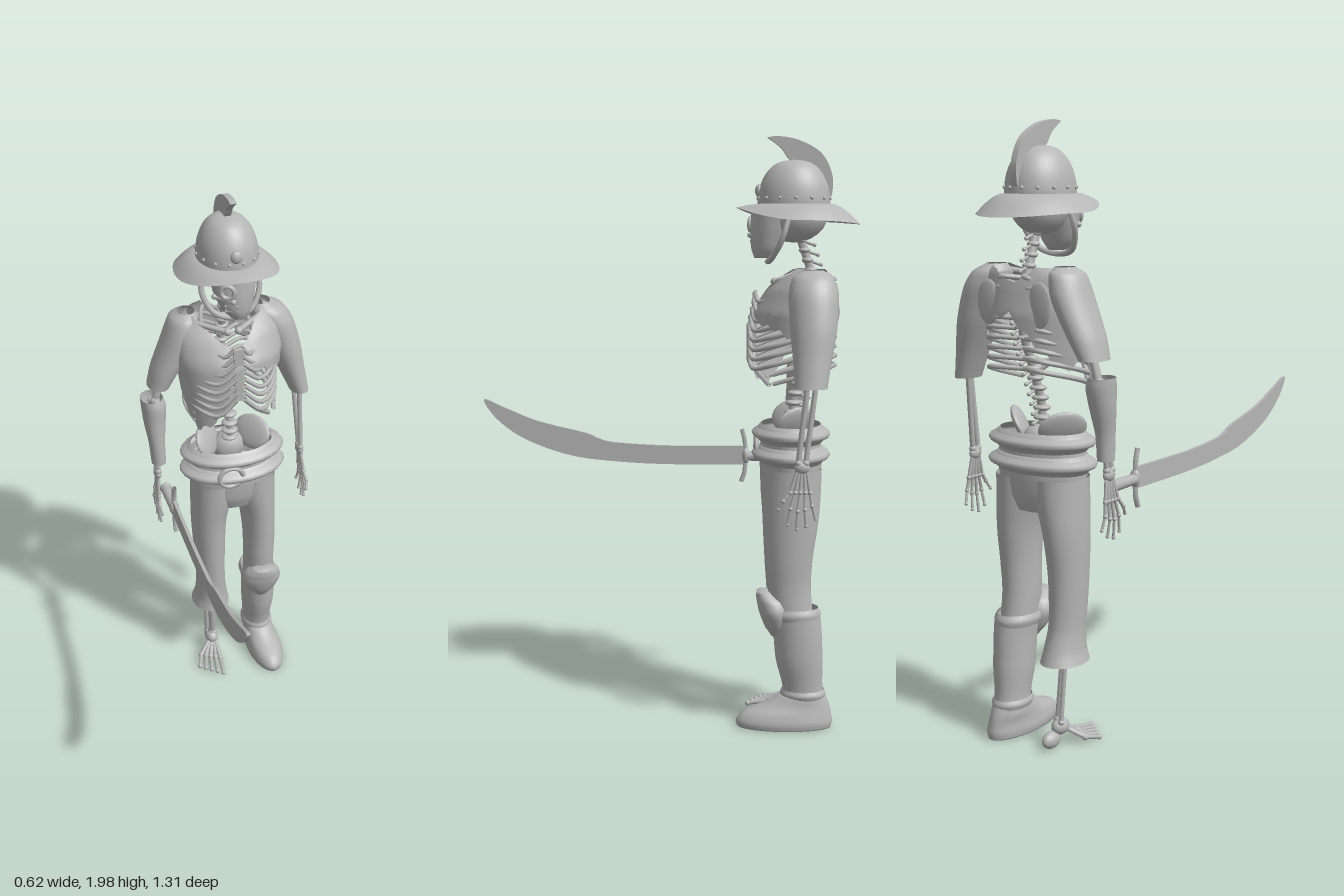
import * as THREE from 'three';

const grey = new THREE.MeshStandardMaterial({ color: 0xb6b6b6, side: THREE.DoubleSide });
grey.name = 'plain grey';
const TAU = Math.PI * 2;
const V = (x, y, z) => new THREE.Vector3(x, y, z);

function add(parent, name, geo) {
  const m = new THREE.Mesh(geo, grey);
  m.name = name;
  parent.add(m);
  return m;
}
function group(parent, name) {
  const g = new THREE.Group();
  g.name = name;
  parent.add(g);
  return g;
}
// Surface closed around u (angle) and open along v (upwards)
function ringSurface(nu, nv, f) {
  const pos = [], idx = [];
  for (let j = 0; j <= nv; j++) for (let i = 0; i < nu; i++) pos.push(...f((i / nu) * TAU, j / nv, j));
  for (let j = 0; j < nv; j++) for (let i = 0; i < nu; i++) {
    const a = j * nu + i, b = j * nu + ((i + 1) % nu), c = a + nu, d = b + nu;
    idx.push(a, c, b, b, c, d);
  }
  const g = new THREE.BufferGeometry();
  g.setAttribute('position', new THREE.Float32BufferAttribute(pos, 3));
  g.setIndex(idx);
  g.computeVertexNormals();
  return g;
}
// Smooth body through elliptic rings [y, cx, cz, rx, rz], listed bottom to top
function loft(rings, capped = false, nu = 28) {
  const c = new THREE.CatmullRomCurve3(rings.map(r => V(r[1], r[0], r[2])));
  const s = new THREE.CatmullRomCurve3(rings.map(r => V(r[3], r[4], 0)));
  const n = (rings.length - 1) * 4, extra = capped ? 1 : 0;
  return ringSurface(nu, n + 2 * extra, (a, v, j) => {
    const t = THREE.MathUtils.clamp((j - extra) / n, 0, 1);
    const p = c.getPoint(t), r = s.getPoint(t);
    const k = capped && (j === 0 || j === n + 2) ? 0 : 1;
    return [p.x + k * r.x * Math.cos(a), p.y, p.z + k * r.y * Math.sin(a)];
  });
}
function ball(parent, name, p, r) {
  const m = add(parent, name, new THREE.SphereGeometry(1, 18, 12));
  m.position.set(...p);
  m.scale.set(...r);
  return m;
}
// Straight bone with knobbed ends
function bone(parent, name, a, b, r) {
  const A = V(...a), B = V(...b), d = B.clone().sub(A);
  const m = add(parent, name, new THREE.CylinderGeometry(r, r, d.length(), 8));
  m.position.copy(A).addScaledVector(d, 0.5);
  m.quaternion.setFromUnitVectors(V(0, 1, 0), d.normalize());
  for (const p of [a, b]) ball(parent, name + 'Knob', p, [r * 1.35, r * 1.35, r * 1.35]);
}
function tube(parent, name, pts, r, n = 20) {
  return add(parent, name, new THREE.TubeGeometry(new THREE.CatmullRomCurve3(pts.map(p => V(...p))), n, r, 6));
}
// Plate drawn in the z-y plane, centred on x
function plate(parent, name, pts, x, thick) {
  const s = new THREE.Shape();
  s.moveTo(...pts[0]);
  s.splineThru(pts.slice(1).map(p => new THREE.Vector2(...p)));
  const g = new THREE.ExtrudeGeometry(s, { depth: thick, bevelEnabled: false, curveSegments: 24 });
  g.rotateY(-Math.PI / 2).translate(x + thick / 2, 0, 0);
  return add(parent, name, g);
}

function buildHead(root) {
  const h = group(root, 'head');
  ball(h, 'skull', [0, 1.745, -0.43], [0.085, 0.095, 0.115]);
  add(h, 'face', loft([[1.6, 0.01, -0.335, 0.03, 0.035], [1.63, 0.005, -0.34, 0.052, 0.05],
    [1.69, 0, -0.352, 0.072, 0.066], [1.76, 0, -0.37, 0.082, 0.08]], true));
  // Bare half of the face: socket, cheekbone and teeth
  const socket = add(h, 'eyeSocket', new THREE.TorusGeometry(0.022, 0.008, 8, 18));
  socket.position.set(-0.037, 1.71, -0.293);
  socket.rotation.y = -0.45;
  bone(h, 'cheekbone', [-0.02, 1.675, -0.287], [-0.072, 1.68, -0.335], 0.007);
  for (let i = 0; i < 5; i++) bone(h, 'tooth', [-0.005 - i * 0.009, 1.655, -0.291 - i * 0.004], [-0.005 - i * 0.009, 1.635, -0.294 - i * 0.004], 0.004);
  tube(h, 'chinStrap', [[-0.09, 1.74, -0.41], [-0.1, 1.67, -0.39], [-0.065, 1.605, -0.36], [0, 1.587, -0.345],
    [0.065, 1.605, -0.36], [0.1, 1.67, -0.39], [0.09, 1.74, -0.41]], 0.01, 32);

  const helmet = group(root, 'helmet');
  const prof = [[0.103, 1.755], [0.104, 1.79], [0.096, 1.84], [0.075, 1.885], [0.045, 1.912], [0.001, 1.922]];
  const curve = new THREE.SplineCurve(prof.map(p => new THREE.Vector2(...p)));
  const dome = add(helmet, 'dome', new THREE.LatheGeometry(curve.getPoints(18), 32));
  dome.scale.z = 1.16;
  dome.position.z = -0.43;
  add(helmet, 'brim', ringSurface(40, 6, (a, v) => {
    const s = Math.sin(a), out = 1.722 + (s > 0 ? 0.043 * s * s : -0.012 * s * s);
    const y = out + (1.777 - out) * Math.sin(v * Math.PI / 2);
    return [(0.177 - 0.077 * v) * Math.cos(a), y, -0.445 + 0.012 * v + (0.205 - 0.088 * v) * s];
  }));
  for (let i = 0; i < 14; i++) {
    const a = i / 14 * TAU;
    ball(helmet, 'rivet', [0.104 * Math.cos(a), 1.795, -0.43 + 0.12 * Math.sin(a)], [0.006, 0.006, 0.006]);
  }
  ball(helmet, 'frontStud', [0, 1.82, -0.314], [0.02, 0.022, 0.013]);
  plate(helmet, 'crest', [[-0.34, 1.993], [-0.38, 1.997], [-0.45, 1.982], [-0.52, 1.94], [-0.555, 1.87], [-0.552, 1.8],
    [-0.53, 1.83], [-0.47, 1.9], [-0.418, 1.918], [-0.385, 1.96], [-0.34, 1.993]], 0, 0.022);
}

function buildBones(root) {
  const b = group(root, 'skeleton');
  // Spine with discs and side spurs
  const spine = new THREE.CatmullRomCurve3([V(0, 0.96, -0.46), V(0, 1.1, -0.435), V(0, 1.25, -0.48), V(0, 1.4, -0.53), V(0, 1.54, -0.495), V(0, 1.69, -0.445)]);
  add(b, 'spineCore', new THREE.TubeGeometry(spine, 40, 0.014, 8));
  for (let i = 0; i < 24; i++) {
    const p = spine.getPoint(i / 23), r = 0.032 - i * 0.0005;
    ball(b, 'vertebra', [p.x, p.y, p.z], [r, 0.011, r * 0.9]);
    bone(b, 'spur', [0, p.y, p.z], [0, p.y - 0.015, p.z - 0.045], 0.005);
  }
  // Rib cage
  for (const s of [-1, 1]) {
    for (let i = 0; i < 10; i++) {
      const y = 1.525 - i * 0.031, w = Math.min(0.085 + i * 0.022, 0.158), z = -0.315 + Math.min(i, 4) * 0.005;
      const pts = [[0, y, -0.52], [s * w * 0.6, y + 0.005, -0.565], [s * w, y - 0.025, -0.46], [s * w * 0.9, y - 0.055, -0.36]];
      if (i < 8) pts.push([s * w * 0.5, y - 0.07, z], [s * 0.015, y - 0.04 + i * 0.004, z + 0.01]);
      tube(b, 'rib', pts, 0.008, 24);
    }
    tube(b, 'ribArch', [[s * 0.015, 1.29, -0.3], [s * 0.06, 1.245, -0.3], [s * 0.12, 1.185, -0.35]], 0.009);
    bone(b, 'collarbone', [s * 0.02, 1.52, -0.37], [s * 0.16, 1.545, -0.46], 0.01);
    ball(b, 'shoulderBlade', [s * 0.1, 1.45, -0.565], [0.045, 0.07, 0.01]);
    // Pelvis wings
    const wing = ball(b, 'pelvisWing', [s * 0.085, 1.055, -0.44], [0.018, 0.062, 0.08]);
    wing.rotation.set(0, s * 0.6, -s * 0.45);
  }
  add(b, 'breastbone', new THREE.BoxGeometry(0.035, 0.2, 0.012)).position.set(0, 1.385, -0.303);
  ball(b, 'pelvisBase', [0, 1.0, -0.46], [0.06, 0.06, 0.045]);

  // Arms and hands
  for (const s of [-1, 1]) {
    const arm = group(b, s > 0 ? 'leftArm' : 'rightArm');
    const ex = s * 0.265, wx = s * 0.272, wz = -0.45;
    bone(arm, 'upperArm', [s * 0.18, 1.5, -0.485], [ex * 0.98, 1.22, -0.485], 0.014);
    for (const k of [-1, 1]) bone(arm, 'forearm', [ex + k * 0.008, 1.22, -0.48 + k * 0.014], [wx, 0.95, wz + k * 0.012], 0.009);
    ball(arm, 'wrist', [wx, 0.935, wz], [0.014, 0.02, 0.026]);
    for (let i = 0; i < 5; i++) {
      const z = i - 2, low = [0.8, 0.75, 0.735, 0.745, 0.77][i];
      const kz = wz + 0.005 - z * 0.016, tz = wz + 0.015 - z * 0.03;
      bone(arm, 'palmBone', [wx, 0.93, wz - z * 0.007], [wx + s * 0.006, 0.855, kz], 0.006);
      bone(arm, 'finger', [wx + s * 0.006, 0.855, kz], [wx + s * 0.01, (0.855 + low) / 2, (kz + tz) / 2 + 0.003], 0.0055);
      bone(arm, 'fingertip', [wx + s * 0.01, (0.855 + low) / 2, (kz + tz) / 2 + 0.003], [wx + s * 0.005, low, tz], 0.0045);
    }
  }
  // Bare right shin and foot
  const leg = group(b, 'rightShin');
  bone(leg, 'shinbone', [-0.09, 0.46, -0.43], [-0.08, 0.1, -0.465], 0.014);
  bone(leg, 'calfBone', [-0.108, 0.44, -0.45], [-0.1, 0.1, -0.48], 0.008);
  ball(leg, 'ankle', [-0.085, 0.08, -0.465], [0.026, 0.028, 0.035]);
  ball(leg, 'heel', [-0.08, 0.045, -0.505], [0.022, 0.028, 0.04]);
  for (let i = 0; i < 5; i++) {
    const kx = -0.075 - i * 0.017, kz = -0.37 - i * 0.01, tx = -0.082 - i * 0.02, tz = -0.295 - i * 0.016;
    bone(leg, 'footBone', [-0.075 - i * 0.006, 0.07, -0.45], [kx, 0.036, kz], 0.008);
    bone(leg, 'toe', [kx, 0.036, kz], [tx, 0.024, tz], 0.007);
  }
}

function buildClothes(root) {
  // Torn shirt: hem and collar heights every 30 degrees, starting at the left side
  const shirt = group(root, 'shirt');
  const hem = [1.33, 1.37, 1.39, 1.41, 1.2, 1.16, 1.28, 1.25, 1.32, 1.42, 1.4, 1.33];
  const top = [1.56, 1.56, 1.54, 1.46, 1.53, 1.56, 1.56, 1.56, 1.56, 1.51, 1.55, 1.56];
  const body = [[1.14, 0.155, 0.13, -0.42], [1.3, 0.175, 0.148, -0.435], [1.42, 0.19, 0.147, -0.442], [1.5, 0.185, 0.115, -0.46], [1.54, 0.17, 0.09, -0.475], [1.57, 0.12, 0.07, -0.48]];
  const at = (list, a) => {
    const t = a / TAU * 12, i = Math.floor(t) % 12;
    return THREE.MathUtils.lerp(list[i], list[(i + 1) % 12], t - Math.floor(t));
  };
  add(shirt, 'shirtBody', ringSurface(72, 14, (a, v) => {
    const y = THREE.MathUtils.lerp(at(hem, a) + 0.008 * Math.sin(a * 19), at(top, a), v);
    let i = 0;
    while (i < 4 && y > body[i + 1][0]) i++;
    const k = (y - body[i][0]) / (body[i + 1][0] - body[i][0]);
    const [, rx, rz, cz] = body[i].map((n, c) => THREE.MathUtils.lerp(n, body[i + 1][c], k));
    return [rx * Math.cos(a), y, cz + rz * Math.sin(a)];
  }));
  add(shirt, 'leftSleeve', loft([[1.19, 0.272, -0.475, 0.035, 0.052], [1.28, 0.245, -0.48, 0.047, 0.062], [1.38, 0.213, -0.485, 0.063, 0.076],
    [1.48, 0.178, -0.485, 0.07, 0.08], [1.535, 0.152, -0.485, 0.062, 0.068], [1.562, 0.135, -0.485, 0.03, 0.035]]));
  add(shirt, 'rightSleeve', loft([[1.29, -0.245, -0.485, 0.04, 0.06], [1.36, -0.215, -0.485, 0.052, 0.072],
    [1.47, -0.165, -0.485, 0.058, 0.08], [1.54, -0.145, -0.485, 0.05, 0.068], [1.562, -0.135, -0.485, 0.03, 0.035]]));
  add(root, 'bracer', loft([[0.98, -0.264, -0.455, 0.026, 0.03], [1.06, -0.266, -0.46, 0.029, 0.034], [1.15, -0.267, -0.475, 0.04, 0.045],
    [1.21, -0.267, -0.482, 0.044, 0.052], [1.24, -0.272, -0.485, 0.04, 0.048]]));

  // Trousers and belt rolls
  const t = group(root, 'trousers');
  add(t, 'hips', loft([[0.79, 0.005, -0.43, 0.11, 0.08], [0.84, 0.005, -0.43, 0.148, 0.098], [0.92, 0.005, -0.43, 0.16, 0.105], [1.02, 0.005, -0.43, 0.155, 0.1]]));
  add(t, 'rightLeg', loft([[0.3, -0.09, -0.445, 0.072, 0.09], [0.34, -0.088, -0.44, 0.062, 0.08], [0.42, -0.09, -0.43, 0.055, 0.07], [0.58, -0.093, -0.425, 0.059, 0.077],
    [0.72, -0.09, -0.43, 0.066, 0.09], [0.82, -0.077, -0.43, 0.078, 0.098], [0.9, -0.07, -0.43, 0.084, 0.1]]));
  add(t, 'leftLeg', loft([[0.36, 0.107, -0.44, 0.058, 0.07], [0.5, 0.102, -0.425, 0.058, 0.073], [0.6, 0.104, -0.425, 0.06, 0.078],
    [0.72, 0.099, -0.43, 0.066, 0.09], [0.82, 0.086, -0.43, 0.078, 0.098], [0.9, 0.08, -0.43, 0.084, 0.1]]));
  for (const [y, r] of [[0.945, 0.172], [1.015, 0.168]]) {
    add(t, 'waistRoll', loft([[y - 0.035, 0.005, -0.43, r - 0.016, 0.1], [y - 0.02, 0.005, -0.43, r, 0.113],
      [y + 0.015, 0.005, -0.43, r, 0.113], [y + 0.03, 0.005, -0.43, r - 0.016, 0.1]]));
  }
  const buckle = add(t, 'buckle', new THREE.TorusGeometry(0.038, 0.008, 8, 28));
  buckle.position.set(-0.03, 0.955, -0.314);
  buckle.scale.x = 1.15;

  // Left boot with knee guard
  const boot = group(root, 'leftBoot');
  add(boot, 'shaft', loft([[0.1, 0.105, -0.48, 0.055, 0.074], [0.15, 0.106, -0.475, 0.053, 0.068], [0.25, 0.108, -0.462, 0.062, 0.08],
    [0.34, 0.108, -0.455, 0.064, 0.082], [0.4, 0.106, -0.45, 0.066, 0.082]]));
  add(boot, 'foot', loft([[0.016, 0.117, -0.412, 0.066, 0.16], [0.035, 0.117, -0.412, 0.069, 0.164], [0.065, 0.115, -0.422, 0.064, 0.15],
    [0.095, 0.11, -0.455, 0.058, 0.11], [0.13, 0.107, -0.477, 0.054, 0.073]], true));
  add(boot, 'ankleBand', loft([[0.115, 0.106, -0.477, 0.056, 0.074], [0.13, 0.106, -0.476, 0.061, 0.078], [0.145, 0.106, -0.475, 0.055, 0.072]]));
  add(boot, 'kneeGuard', loft([[0.33, 0.102, -0.385, 0.025, 0.02], [0.37, 0.1, -0.38, 0.057, 0.04], [0.42, 0.099, -0.375, 0.076, 0.053],
    [0.455, 0.099, -0.365, 0.066, 0.05], [0.485, 0.098, -0.34, 0.035, 0.025]], true));
  add(boot, 'kneeStrap', loft([[0.39, 0.104, -0.445, 0.066, 0.086], [0.41, 0.103, -0.443, 0.071, 0.09], [0.43, 0.103, -0.44, 0.064, 0.084]]));
}

function buildSword(root) {
  const s = group(root, 'sword'), x = -0.252;
  plate(s, 'blade', [[-0.28, 0.926], [-0.1, 0.925], [0.03, 0.926], [0.19, 0.937], [0.25, 0.953], [0.29, 0.97], [0.46, 1.012], [0.58, 1.06], [0.655, 1.09],
    [0.61, 1.02], [0.51, 0.948], [0.35, 0.89], [0.19, 0.868], [0, 0.858], [-0.28, 0.857]], x, 0.012);
  tube(s, 'guard', [[x, 0.795, -0.27], [x, 0.83, -0.282], [x, 0.89, -0.284], [x, 0.945, -0.282], [x, 0.985, -0.272]], 0.009);
  ball(s, 'guardBoss', [x, 0.89, -0.286], [0.018, 0.03, 0.014]);
  const grip = add(s, 'grip', new THREE.CylinderGeometry(0.017, 0.02, 0.12, 14));
  grip.rotation.x = Math.PI / 2;
  grip.position.set(x, 0.888, -0.35);
  ball(s, 'pommel', [x, 0.888, -0.412], [0.022, 0.022, 0.016]);
}

export function createModel() {
  const root = new THREE.Group();
  root.name = 'skeletonSwordsman';
  buildHead(root);
  buildBones(root);
  buildClothes(root);
  buildSword(root);
  return root;
}
